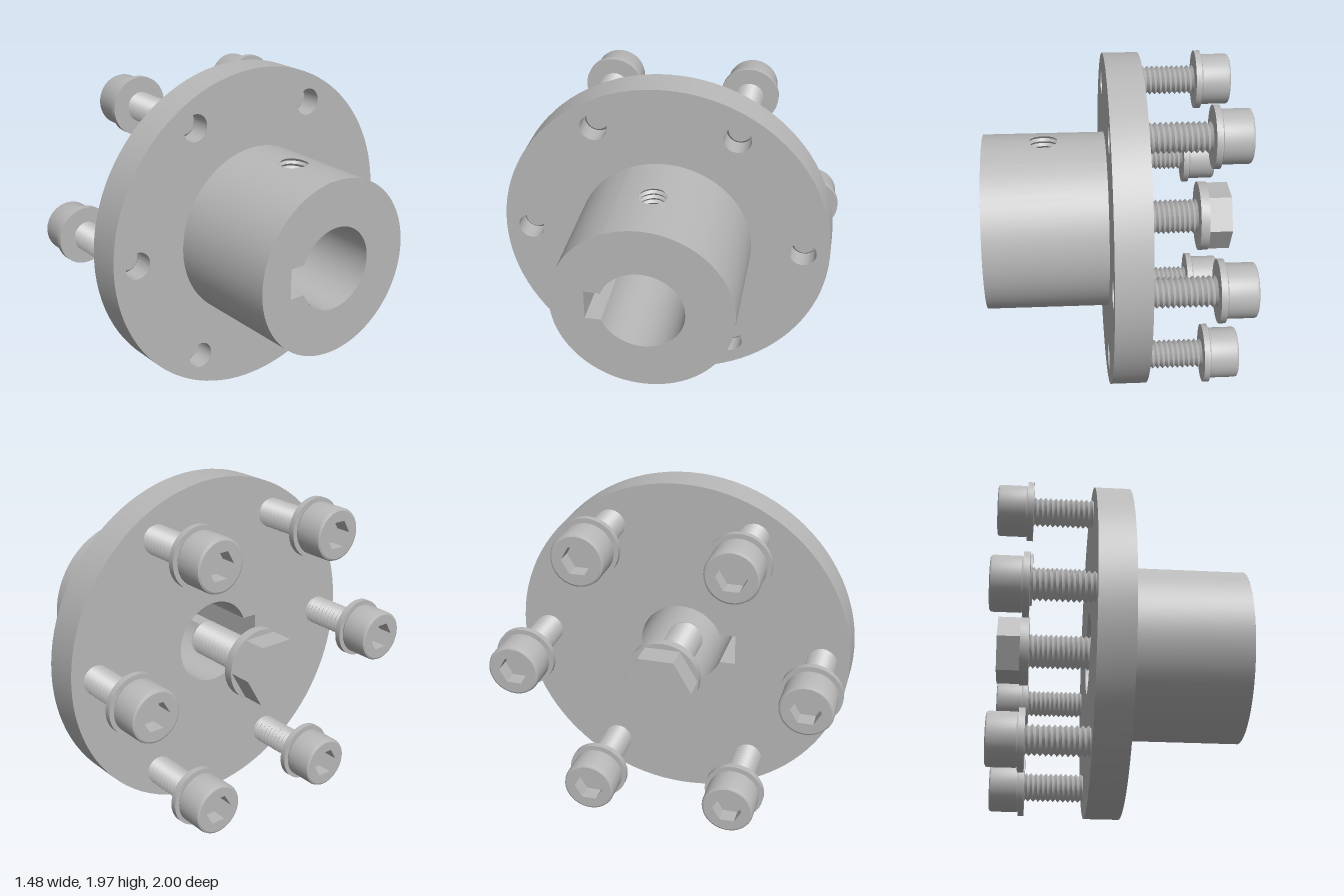
import * as THREE from 'three';
import { toCreasedNormals } from 'three/addons/utils/BufferGeometryUtils.js';

const FLANGE_R = 0.985, FLANGE_X0 = -0.18, HUB_X0 = 0.025, HUB_X1 = 0.735, HUB_R = 0.52;
const BORE_R = 0.245, KEY_HALF = 0.09, KEY_Z = 0.32, BOLT_CIRCLE = 0.827;
const KEY_ANGLE = Math.asin(KEY_HALF / BORE_R);
const SET_X = (HUB_X0 + HUB_X1) / 2, SET_R = 0.08;

const steel = new THREE.MeshStandardMaterial({ color: 0xb8b8b8, side: THREE.DoubleSide });
steel.name = 'steel';

function add(parent, name, geometry) {
  const mesh = new THREE.Mesh(toCreasedNormals(geometry, 0.6), steel);
  mesh.name = name;
  parent.add(mesh);
  return mesh;
}

// Surface from a rule f(u, v) on an nu by nv grid
function grid(nu, nv, f) {
  const pos = [], index = [];
  for (let j = 0; j <= nv; j++) for (let i = 0; i <= nu; i++) pos.push(...f(i / nu, j / nv, j));
  for (let j = 0; j < nv; j++) for (let i = 0; i < nu; i++) {
    const a = j * (nu + 1) + i, b = a + nu + 1;
    index.push(a, b, a + 1, b, b + 1, a + 1);
  }
  const g = new THREE.BufferGeometry();
  g.setAttribute('position', new THREE.Float32BufferAttribute(pos, 3));
  g.setIndex(index);
  return g;
}

// Round bore with a keyway, in the plane across the axis (shape x = -z)
function keyedBore() {
  const p = new THREE.Path();
  p.absarc(0, 0, BORE_R, Math.PI + KEY_ANGLE, Math.PI * 3 - KEY_ANGLE, false);
  p.lineTo(-KEY_Z, KEY_HALF);
  p.lineTo(-KEY_Z, -KEY_HALF);
  p.closePath();
  return p;
}

function disc(r, ...holes) {
  const s = new THREE.Shape();
  s.absarc(0, 0, r, 0, Math.PI * 2, false);
  s.holes.push(...holes);
  return s;
}

// Cylinder wall between two angles, measured from the top towards +z
const arcWall = (r, a0, a1, n) => grid(n, 1, (u, v) => {
  const a = a0 + (a1 - a0) * u;
  return [HUB_X0 + (HUB_X1 - HUB_X0) * v, r * Math.cos(a), r * Math.sin(a)];
});

// Top part of a cylinder wall, pierced by the set screw hole
const piercedWall = (r, half) => grid(64, 6, (u, v) => {
  const c = Math.cos(u * Math.PI * 2), s = Math.sin(u * Math.PI * 2);
  const k = 1 / Math.max(Math.abs(c), Math.abs(s));
  const x = THREE.MathUtils.lerp(SET_R * c, k * c * (HUB_X1 - HUB_X0) / 2, v);
  const a = THREE.MathUtils.lerp(Math.asin(SET_R * s / r), k * s * half, v);
  return [SET_X + x, r * Math.cos(a), r * Math.sin(a)];
});

// Helical thread along y with a solid core
function thread(parent, r, y0, y1) {
  const pitch = 0.03, root = r - 0.016, rows = Math.ceil((y1 - y0) / pitch + 1) * 2;
  add(parent, 'thread', grid(24, rows, (u, v, j) => {
    const y = THREE.MathUtils.clamp(y0 + (j / 2 - 1 + u) * pitch, y0, y1);
    const rr = j % 2 ? r : root, a = u * Math.PI * 2;
    return [rr * Math.sin(a), y, rr * Math.cos(a)];
  }));
  add(parent, 'threadTip', new THREE.CylinderGeometry(root - 0.006, r - 0.004, 0.02, 24)).position.y = y1 + 0.01;
}

function washer(parent, r, y0, y1) {
  add(parent, 'washer', new THREE.CylinderGeometry(r, r, y1 - y0, 40)).position.y = (y0 + y1) / 2;
}

// Bolts are built along y, then turned so that y becomes x
function socketBolt() {
  const bolt = new THREE.Group();
  bolt.name = 'socketBolt';
  const profile = [[0.136, -0.74], [0.146, -0.735], [0.15, -0.724], [0.15, -0.575], [0.143, -0.565], [0, -0.565]];
  add(bolt, 'boltHead', new THREE.LatheGeometry(profile.map(p => new THREE.Vector2(...p)), 40));
  const hex = new THREE.Path();
  for (let i = 0; i < 6; i++) {
    const a = i * Math.PI / 3;
    hex[i ? 'lineTo' : 'moveTo'](0.085 * Math.sin(a), 0.085 * Math.cos(a));
  }
  hex.closePath();
  add(bolt, 'headFace', new THREE.ShapeGeometry(disc(0.136, hex), 40).rotateX(Math.PI / 2)).position.y = -0.74;
  const wall = new THREE.CylinderGeometry(0.085, 0.085, 0.09, 6, 1, true).scale(-1, 1, 1);
  wall.setIndex(Array.from(wall.index.array).reverse());
  wall.scale(-1, 1, 1);
  add(bolt, 'socketWall', wall).position.y = -0.695;
  add(bolt, 'socketFloor', new THREE.CircleGeometry(0.085, 6).rotateZ(Math.PI / 2).rotateX(Math.PI / 2)).position.y = -0.65;
  washer(bolt, 0.173, -0.567, -0.532);
  thread(bolt, 0.086, -0.532, -0.1);
  bolt.rotation.z = -Math.PI / 2;
  return bolt;
}

function hexBolt() {
  const bolt = new THREE.Group();
  bolt.name = 'centreBolt';
  add(bolt, 'hexHead', new THREE.CylinderGeometry(0.2, 0.2, 0.135, 6)).position.y = -0.6525;
  washer(bolt, 0.207, -0.585, -0.532);
  thread(bolt, 0.104, -0.532, -0.1);
  bolt.rotation.z = -Math.PI / 2;
  return bolt;
}

export function createModel() {
  const model = new THREE.Group();
  model.name = 'flangedHub';
  const body = new THREE.Group();
  body.name = 'coupling';
  body.position.y = FLANGE_R;
  model.add(body);

  // Flange with keyed bore and six bolt holes
  const boltHoles = [];
  for (let i = 0; i < 6; i++) {
    const a = i * Math.PI / 3, z = BOLT_CIRCLE * Math.cos(a), y = BOLT_CIRCLE * Math.sin(a);
    const hole = new THREE.Path();
    hole.absarc(-z, y, 0.08, 0, Math.PI * 2, false);
    boltHoles.push(hole);
    const bolt = socketBolt();
    bolt.position.set(0, y, z);
    body.add(bolt);
  }
  const flange = new THREE.ExtrudeGeometry(disc(FLANGE_R, keyedBore(), ...boltHoles),
    { depth: HUB_X0 - FLANGE_X0, bevelEnabled: false, curveSegments: 48 });
  add(body, 'flange', flange.rotateY(Math.PI / 2)).position.x = FLANGE_X0;
  body.add(hexBolt());

  // Hub: outer wall, end face and bore wall
  const full = Math.PI * 2, quarter = Math.PI / 2;
  add(body, 'hubWall', arcWall(HUB_R, 0.4, full - 0.4, 52));
  add(body, 'hubWallTop', piercedWall(HUB_R, 0.4));
  const end = new THREE.ShapeGeometry(disc(HUB_R, keyedBore()), 60);
  add(body, 'hubEnd', end.rotateY(Math.PI / 2)).position.x = HUB_X1;
  add(body, 'boreWallTop', piercedWall(BORE_R, 0.5));
  add(body, 'boreWallUpper', arcWall(BORE_R, 0.5, quarter - KEY_ANGLE, 8));
  add(body, 'boreWallLower', arcWall(BORE_R, quarter + KEY_ANGLE, full - 0.5, 36));

  // Keyway through the hub
  const zMouth = BORE_R * Math.cos(KEY_ANGLE);
  const key = [[KEY_HALF, zMouth], [KEY_HALF, KEY_Z], [-KEY_HALF, KEY_Z], [-KEY_HALF, zMouth]];
  add(body, 'keyway', grid(3, 1, (u, v) => [HUB_X0 + (HUB_X1 - HUB_X0) * v, ...key[Math.round(u * 3)]]));

  // Threaded set screw hole from the hub top down to the bore
  add(body, 'setScrewHole', grid(32, 18, (u, v, j) => {
    const a = u * Math.PI * 2, r = SET_R + (j % 2 ? 0.012 : 0), z = SET_R * Math.sin(a);
    const y = THREE.MathUtils.lerp(Math.sqrt(HUB_R ** 2 - z * z), Math.sqrt(BORE_R ** 2 - z * z), v);
    return [SET_X + r * Math.cos(a), y, r * Math.sin(a)];
  }));
  return model;
}
